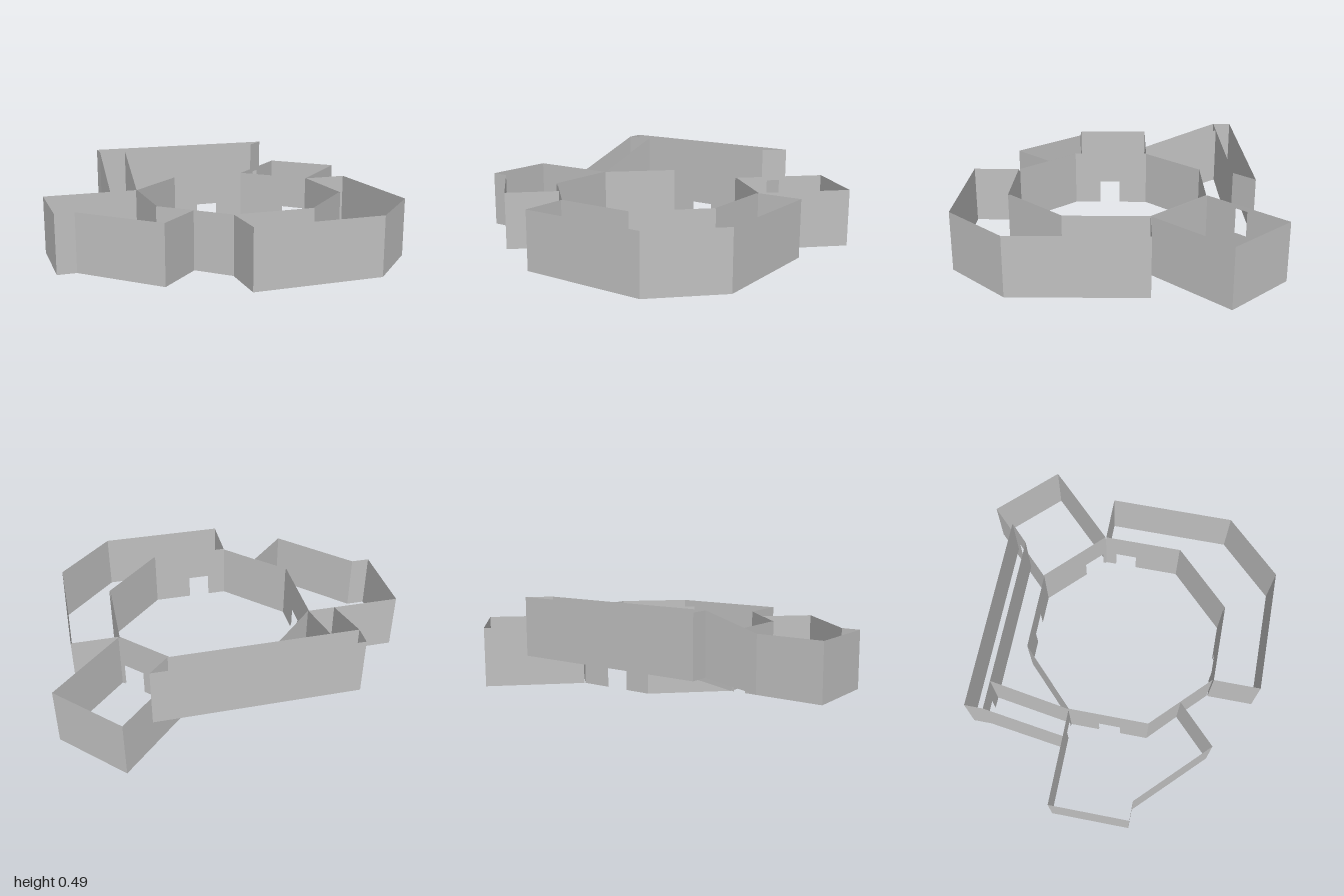
import * as THREE from 'three';

const HEIGHT = 0.325;   // every wall
const RAISED = 0.165;   // floor level of the upper corridor

// Doorways: centre x, centre z, sill height, width. Each cuts every wall it touches.
const DOORS = [
  [0.067, -0.48, 0, 0.13], [-0.463, 0.06, 0, 0.125], [0.62, -0.045, 0, 0.125],
  [0.022, 0.593, 0, 0.125], [0.558, -0.233, 0, 0.135], [-0.52, -0.17, 0, 0.07],
  [-0.53, -0.6, RAISED, 0.07], [0.468, -0.649, RAISED, 0.078],
];
const DOOR_HEIGHT = 0.138;

// Plans as [x, z] corners
const HALL = [[-0.145, -0.48], [0.3, -0.48], [0.615, -0.17], [0.615, 0.278],
  [0.3, 0.59], [-0.145, 0.59], [-0.462, 0.278], [-0.462, -0.17]];
const SQUARE_ROOM = [[0.305, -0.485], [0.685, -0.865], [0.998, -0.55], [0.622, -0.175]];
const CORNER_ROOM = [[0.622, -0.17], [0.88, -0.17], [0.88, 0.55], [0.57, 0.862],
  [-0.145, 0.862], [-0.145, 0.597], [0.304, 0.597], [0.622, 0.281]];
const SIDE_ROOM = [[-0.468, -0.17], [-1, -0.17], [-1, 0.272], [-0.895, 0.272],
  [-0.522, 0.645], [-0.308, 0.434], [-0.468, 0.281]];
const CORRIDOR = [[-0.59, -0.705], [0.522, -0.705], [0.416, -0.602], [-0.59, -0.602]];

export function createModel() {
  const model = new THREE.Group();
  model.name = 'floorPlan';
  const plaster = new THREE.MeshStandardMaterial({ color: 0xc0c0c0, side: THREE.DoubleSide });
  plaster.name = 'grey plaster';

  // One upright wall sheet from a to b; its base may climb from y0 to y1
  function wall(parent, name, a, b, y0, y1 = y0) {
    const dx = b[0] - a[0], dz = b[1] - a[1], length = Math.hypot(dx, dz);
    const outline = [[0, y0]];
    const holes = [];
    for (const [x, z, sill, width] of DOORS) {
      const px = x - a[0], pz = z - a[1];
      const along = (px * dx + pz * dz) / length;
      const off = Math.abs(px * dz - pz * dx) / length;
      const l = along - width / 2, r = along + width / 2;
      if (y0 !== y1 || off > 0.02 || l < 0 || r > length || sill < y0) continue;
      const corners = [[l, sill], [l, sill + DOOR_HEIGHT], [r, sill + DOOR_HEIGHT], [r, sill]];
      if (sill === y0) outline.push(...corners);
      else holes.push(corners);
    }
    outline.push([length, y1], [length, y1 + HEIGHT], [0, y0 + HEIGHT]);
    const points = (list) => list.map(([u, v]) => new THREE.Vector2(u, v));
    const shape = new THREE.Shape(points(outline));
    holes.forEach((h) => shape.holes.push(new THREE.Path(points(h))));
    const mesh = new THREE.Mesh(new THREE.ShapeGeometry(shape), plaster);
    mesh.position.set(a[0], 0, a[1]);
    mesh.rotation.y = Math.atan2(-dz, dx);
    mesh.name = name;
    parent.add(mesh);
  }

  // Closed ring of walls
  function room(name, plan, base = 0) {
    const group = new THREE.Group();
    group.name = name;
    plan.forEach((p, i) => wall(group, `${name}Wall${i + 1}`, p, plan[(i + 1) % plan.length], base));
    model.add(group);
  }

  room('octagonalHall', HALL);
  room('squareRoom', SQUARE_ROOM);
  room('cornerRoom', CORNER_ROOM);
  room('sideRoom', SIDE_ROOM);
  room('upperCorridor', CORRIDOR, RAISED);

  // Sloping passage from the side room up to the corridor
  const ramp = new THREE.Group();
  ramp.name = 'rampPassage';
  wall(ramp, 'rampOuterWall', [-0.62, -0.17], [-0.59, -0.602], 0, RAISED);
  wall(ramp, 'rampInnerWall', [-0.465, -0.17], [-0.433, -0.602], 0, RAISED);
  model.add(ramp);

  return model;
}
